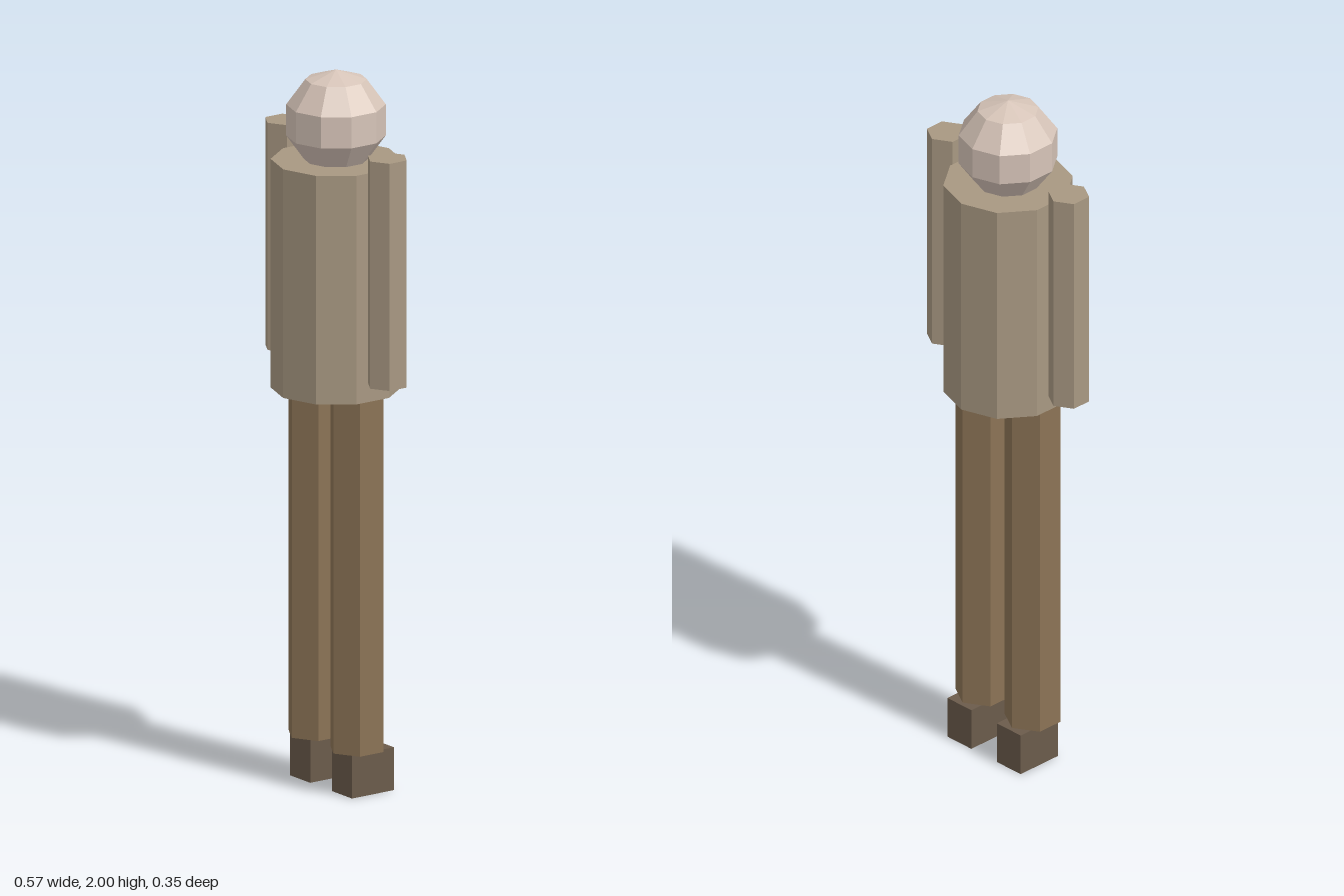
import * as THREE from 'three';

const flat = (color) => new THREE.MeshStandardMaterial({ color, flatShading: true });

export function createModel() {
  const model = new THREE.Group();
  const skin = flat(0xd6c4b8);
  const shirt = flat(0xa89882);
  const trousers = flat(0x8b7355);
  const shoe = flat(0x6b5b4b);

  const add = (name, geometry, material, x, y, z) => {
    const mesh = new THREE.Mesh(geometry, material);
    mesh.name = name;
    mesh.position.set(x, y, z);
    model.add(mesh);
    return mesh;
  };

  // Upright prism spanning y0 to y1
  const prism = (name, radius, sides, y0, y1, material, x) =>
    add(name, new THREE.CylinderGeometry(radius, radius, y1 - y0, sides), material, x, (y0 + y1) / 2, -0.001);

  // Ten-sided head, turned so a corner faces forward
  add('head', new THREE.SphereGeometry(0.141, 10, 5).rotateY(Math.PI / 2), skin, 0, 1.859, -0.001);
  prism('torso', 0.176, 10, 1.11, 1.75, shirt, 0);

  // Hexagonal limbs and box feet on both sides
  for (const [side, s] of [['left', 1], ['right', -1]]) {
    prism(side + 'Arm', 0.057, 6, 1.17, 1.806, shirt, s * 0.234);
    prism(side + 'Leg', 0.078, 6, 0.12, 1.11, trousers, s * 0.095);
    add(side + 'Foot', new THREE.BoxGeometry(0.092, 0.12, 0.14), shoe, s * 0.095, 0.06, -0.021);
  }
  return model;
}
